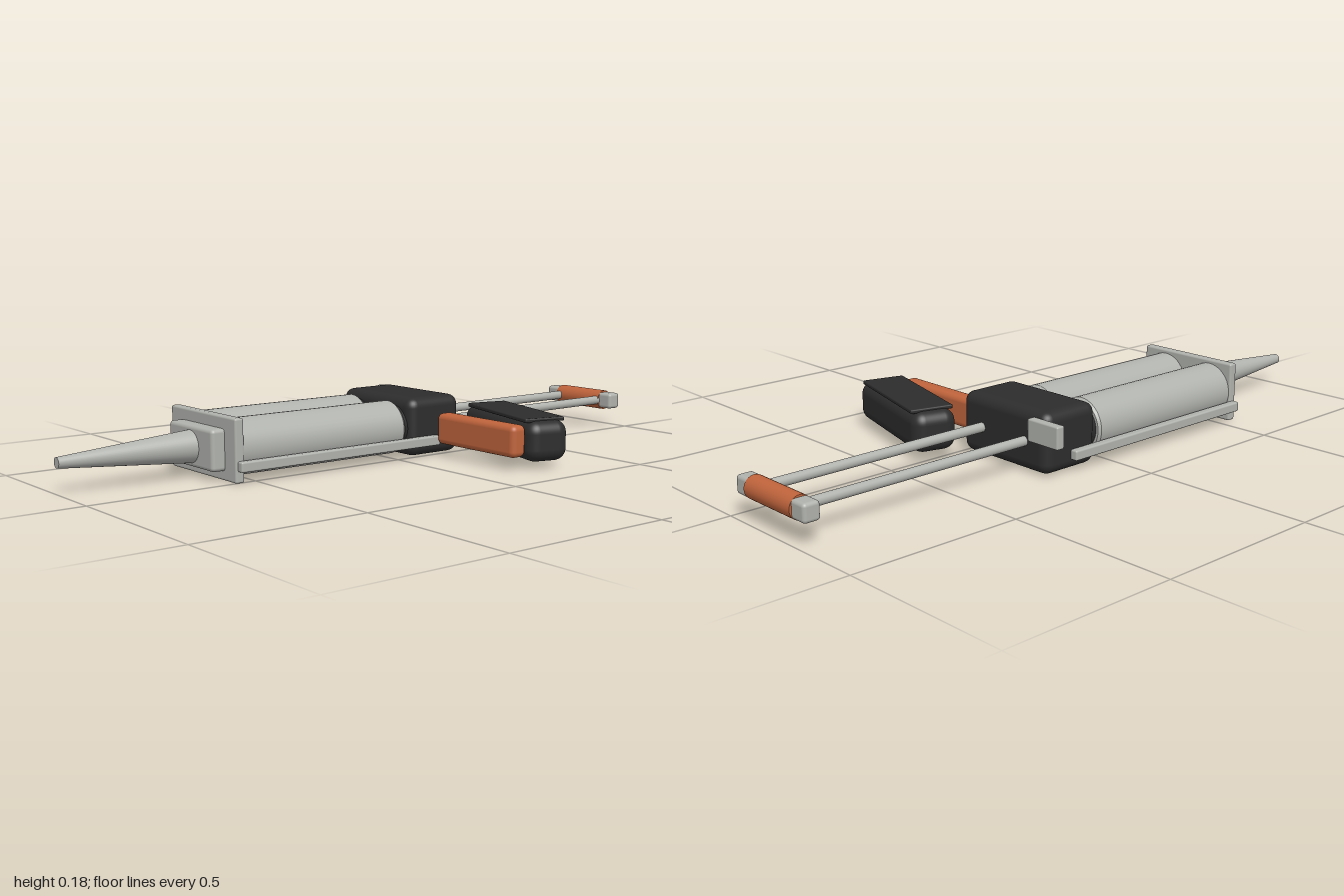
import * as THREE from 'three';
import { RoundedBoxGeometry } from 'three/addons/geometries/RoundedBoxGeometry.js';

export function createModel() {
  const root = new THREE.Group();
  root.name = 'dualCartridgeGun';

  const mat = (name, color) => {
    const m = new THREE.MeshStandardMaterial({ color });
    m.name = name;
    return m;
  };
  const grey = mat('lightGrey', 0xb0b2ad);
  const dark = mat('charcoal', 0x2d2d2d);
  const orange = mat('burntOrange', 0xc0643c);

  const add = (name, geometry, material, parent = root) => {
    const mesh = new THREE.Mesh(geometry, material);
    mesh.name = name;
    parent.add(mesh);
    return mesh;
  };
  // Rounded box given by its [min, max] extents on each axis
  const box = (name, [x0, x1], [y0, y1], [z0, z1], r, material) => {
    const mesh = add(name, new RoundedBoxGeometry(x1 - x0, y1 - y0, z1 - z0, 4, r), material);
    mesh.position.set((x0 + x1) / 2, (y0 + y1) / 2, (z0 + z1) / 2);
    return mesh;
  };
  // Round part along z from a list of [radius, z]; points are doubled to keep edges crisp
  const turned = (name, profile, x, y, material) => {
    const pts = [];
    profile.forEach(([r, z], i) => {
      pts.push(new THREE.Vector2(r, z));
      if (i > 0 && i < profile.length - 1) pts.push(new THREE.Vector2(r, z + 1e-5));
    });
    const mesh = add(name, new THREE.LatheGeometry(pts, 40).rotateX(Math.PI / 2), material);
    mesh.position.set(x, y, 0);
    return mesh;
  };

  const cx = -0.166, cy = 0.09;

  // Front plate, outlet block and tapered nozzle
  box('frontPlate', [-0.337, 0.005], [0.003, 0.181], [0.537, 0.565], 0.006, grey);
  box('outletBlock', [-0.282, -0.05], [0.03, 0.147], [0.555, 0.605], 0.011, grey);
  turned('nozzle', [[0, 0.6], [0.047, 0.6], [0.015, 1], [0, 1]], cx, 0.088, grey);

  // Twin cartridges with dark collars, and the plunger rods behind them
  for (const s of [-1, 1]) {
    const x = cx + s * 0.0875;
    turned('cartridge', [[0, -0.03], [0.074, -0.03], [0.08, -0.022], [0.08, 0.54], [0, 0.54]], x, cy, grey);
    turned('cartridgeCollar', [[0, -0.06], [0.066, -0.06], [0.066, -0.025], [0, -0.025]], x, cy, dark);
    turned('plungerRod', [[0, -0.965], [0.014, -0.965], [0.014, -0.2], [0, -0.2]], cx + s * 0.086, cy, grey);
  }

  // Side rails joining body and front plate
  box('rightRail', [-0.358, -0.332], [0.035, 0.064], [-0.145, 0.558], 0.005, grey);
  box('leftRail', [0, 0.025], [0.035, 0.064], [-0.145, 0.558], 0.005, grey);

  // Main body and release tab
  box('body', [-0.337, 0.005], [0.005, 0.18], [-0.24, -0.045], 0.03, dark);
  box('releaseTab', [-0.405, -0.29], [0.103, 0.167], [-0.265, -0.238], 0.005, grey);

  // Trigger lever
  box('trigger', [0.02, 0.352], [0.04, 0.133], [-0.185, -0.131], 0.017, orange);

  // Angled hand grip with a thin top plate
  const grip = new THREE.Group();
  grip.name = 'handGrip';
  grip.position.set(0.187, 0, -0.295);
  grip.rotation.y = -0.262;
  root.add(grip);
  const handle = add('gripBody', new RoundedBoxGeometry(0.422, 0.118, 0.132, 6, 0.036), dark, grip);
  handle.position.y = 0.082;
  const cap = add('gripTopPlate', new RoundedBoxGeometry(0.36, 0.012, 0.128, 2, 0.004), dark, grip);
  cap.position.y = 0.142;

  // Rear pull handle
  const pull = add('pullGrip', new THREE.CylinderGeometry(0.032, 0.032, 0.196, 32).rotateZ(Math.PI / 2), orange);
  pull.position.set(cx, cy, -0.967);
  box('pullEndRight', [-0.314, -0.255], [0.065, 0.116], [-0.992, -0.943], 0.01, grey);
  box('pullEndLeft', [-0.078, -0.02], [0.065, 0.116], [-0.992, -0.943], 0.01, grey);

  return root;
}
